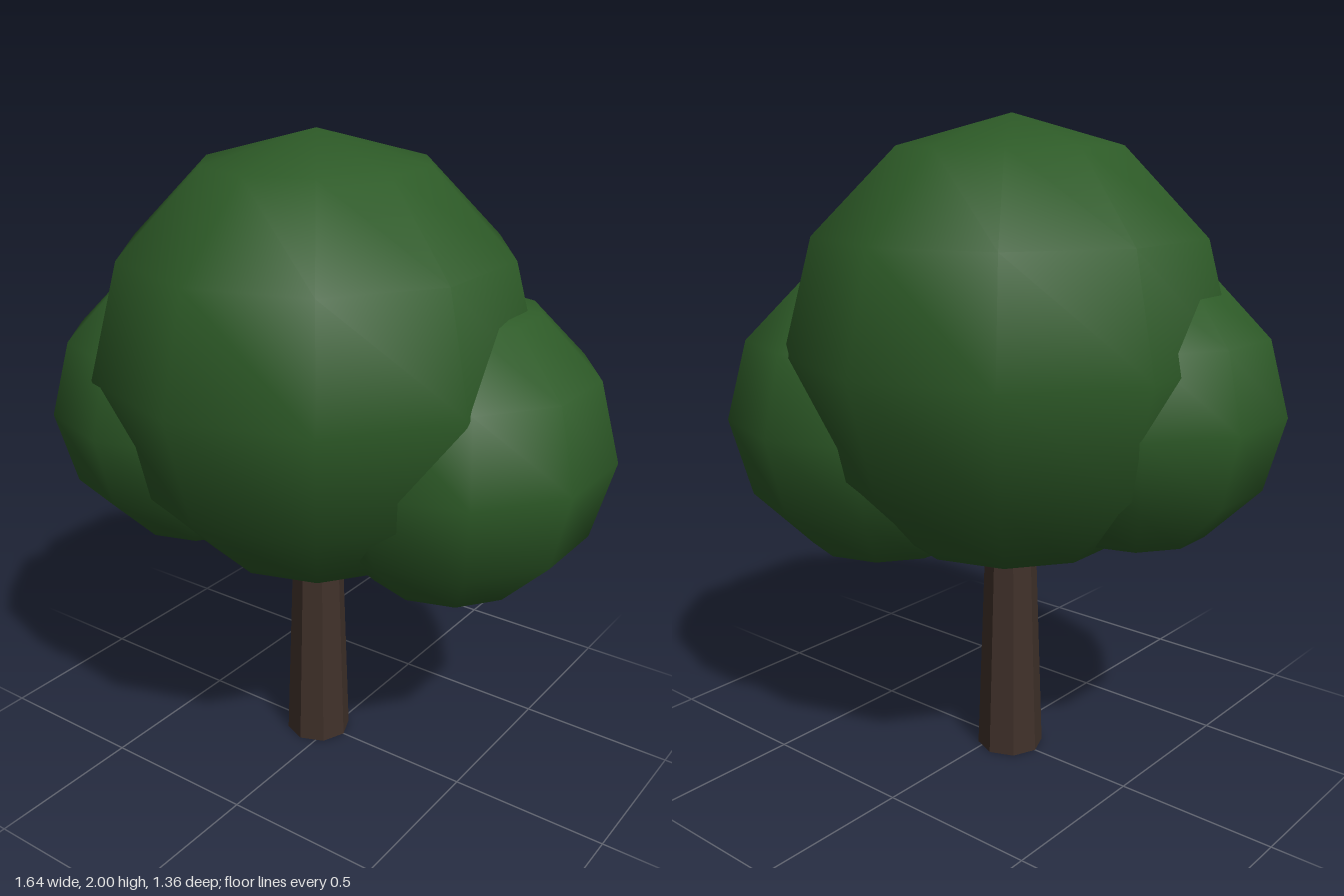
import * as THREE from 'three';

export function createModel() {
  const tree = new THREE.Group();
  tree.name = 'tree';
  const leafMaterial = new THREE.MeshStandardMaterial({ color: 0x2d5a27 });
  const barkMaterial = new THREE.MeshStandardMaterial({ color: 0x40312a, flatShading: true });

  // Tapered eight-sided trunk, its top hidden inside the crown
  const trunkHeight = 0.9;
  const trunk = new THREE.Mesh(new THREE.CylinderGeometry(0.073, 0.105, trunkHeight, 8), barkMaterial);
  trunk.name = 'trunk';
  trunk.position.set(-0.05, trunkHeight / 2, 0);
  tree.add(trunk);

  // Crown: three overlapping smooth, low-segment balls of leaves
  const clumps = [
    { name: 'mainFoliage', radius: 0.68, centre: [-0.05, 1.32, 0] },
    { name: 'leftFoliage', radius: 0.49, centre: [0.35, 1.085, -0.145] },
    { name: 'rightFoliage', radius: 0.445, centre: [-0.4, 1.16, 0.16] },
  ];
  for (const { name, radius, centre } of clumps) {
    const clump = new THREE.Mesh(new THREE.SphereGeometry(radius, 10, 6), leafMaterial);
    clump.name = name;
    clump.position.set(...centre);
    clump.rotation.y = Math.PI / 2; // corners of the ten-sided rings point to front and back
    tree.add(clump);
  }
  return tree;
}
